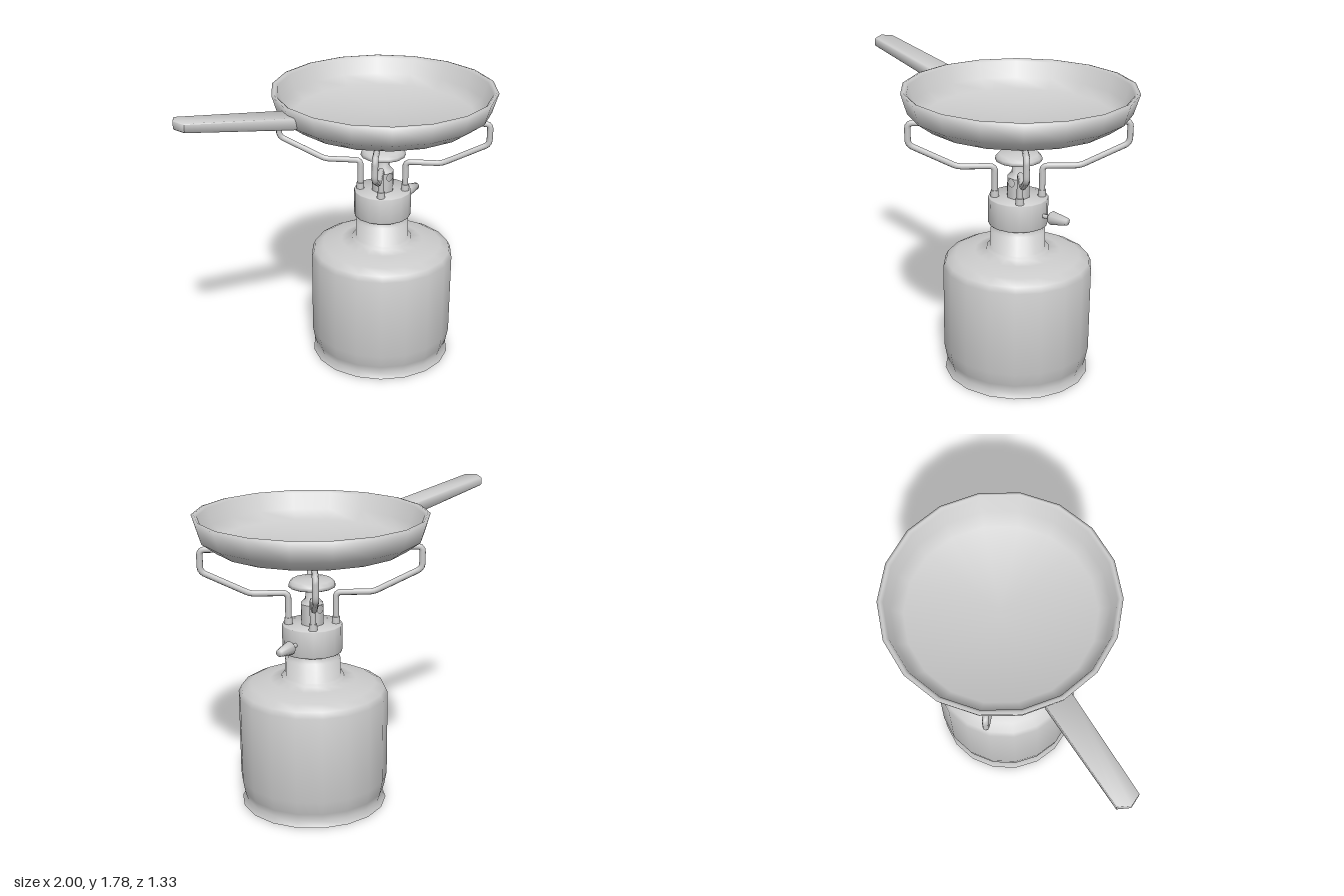
import * as THREE from 'three';
import { toCreasedNormals, mergeGeometries } from 'three/addons/utils/BufferGeometryUtils.js';

const metal = new THREE.MeshStandardMaterial({ color: 0xcccccc });
const sheet = new THREE.MeshStandardMaterial({ color: 0xcccccc, side: THREE.DoubleSide });

function part(name, geometry, parent, material = metal) {
  const mesh = new THREE.Mesh(geometry, material);
  mesh.name = name;
  parent.add(mesh);
  return mesh;
}

// Turned part from [radius, height] pairs, with softly blended edges
function turned(profile, sides, start = 0) {
  const points = profile.map(([r, y]) => new THREE.Vector2(r, y));
  const g = new THREE.LatheGeometry(points, sides, start);
  const last = points.length - 1;
  const slopes = points.slice(1).map((p, j) => new THREE.Vector2(p.y - points[j].y, points[j].x - p.x).normalize());
  const blended = points.map((p, j) => {
    const n = slopes[Math.max(j - 1, 0)].clone().add(slopes[Math.min(j, last - 1)]);
    return p.x === 0 ? new THREE.Vector2(0, Math.sign(n.y)) : n.normalize();
  });
  const normal = g.attributes.normal;
  for (let i = 0; i < normal.count; i++) {
    const phi = start + Math.floor(i / (last + 1)) * Math.PI * 2 / sides;
    const n = blended[i % (last + 1)];
    normal.setXYZ(i, n.x * Math.sin(phi), n.y, n.x * Math.cos(phi));
  }
  return g;
}

// Polyline with rounded corners, in the x-y plane
function bentPath(points, radius) {
  const p = points.map(([x, y]) => new THREE.Vector3(x, y, 0));
  const path = new THREE.CurvePath();
  let from = p[0];
  for (let i = 1; i < p.length - 1; i++) {
    const a = p[i].clone().add(p[i - 1].clone().sub(p[i]).setLength(radius));
    const b = p[i].clone().add(p[i + 1].clone().sub(p[i]).setLength(radius));
    path.add(new THREE.LineCurve3(from, a));
    path.add(new THREE.QuadraticBezierCurve3(a, p[i], b));
    from = b;
  }
  path.add(new THREE.LineCurve3(from, p[p.length - 1]));
  return path;
}

// Octagonal burner tube with an air hole front and back
function airTube(radius, bottom, top) {
  const half = radius * Math.sin(Math.PI / 8);
  const panels = [];
  for (let k = 0; k < 8; k++) {
    const shape = new THREE.Shape();
    shape.moveTo(-half, bottom).lineTo(half, bottom).lineTo(half, top).lineTo(-half, top).closePath();
    if (k % 4 === 0) shape.holes.push(new THREE.Path().absarc(0, 1.185, 0.023, 0, Math.PI * 2, true));
    const panel = new THREE.ShapeGeometry(shape, 8);
    panel.translate(0, 0, radius * Math.cos(Math.PI / 8)).rotateY(k * Math.PI / 4);
    const pos = panel.attributes.position;
    for (let i = 0; i < pos.count; i++) {
      const r = Math.hypot(pos.getX(i), pos.getZ(i));
      panel.attributes.normal.setXYZ(i, pos.getX(i) / r, 0, pos.getZ(i) / r);
    }
    panels.push(panel);
  }
  return mergeGeometries(panels);
}

// Flat tapering handle with a pointed end, along -x
function handleGeometry() {
  const shape = new THREE.Shape();
  shape.moveTo(-0.637, -0.072).lineTo(-0.637, 0.072).lineTo(-1.306, 0.062);
  shape.lineTo(-1.337, 0).lineTo(-1.306, -0.062).closePath();
  const g = new THREE.ExtrudeGeometry(shape, {
    depth: 0.048, bevelEnabled: true, bevelThickness: 0.006, bevelSize: 0.006, bevelSegments: 1,
  });
  g.translate(0, 0, -0.024).rotateX(-Math.PI / 2);
  const pos = g.attributes.position;
  for (let i = 0; i < pos.count; i++) {
    const t = (-pos.getX(i) - 0.61) / 0.73; // 0 at the pan, 1 at the tip
    pos.setY(i, pos.getY(i) * (1.2 - 0.33 * t) + 1.645 + 0.114 * t);
  }
  return toCreasedNormals(g, 1);
}

export function createModel() {
  const model = new THREE.Group();
  model.name = 'campStoveWithPan';
  const stove = new THREE.Group();
  stove.name = 'stove';
  stove.position.x = 0.335;
  model.add(stove);

  // Gas canister, open below, with a flared foot and a collar on the shoulder
  part('canister', turned([
    [0.429, 0], [0.406, 0.035], [0.42, 0.08], [0.435, 0.16], [0.436, 0.67], [0.42, 0.705], [0.365, 0.733],
    [0.25, 0.755], [0.185, 0.765], [0.182, 0.778], [0.162, 0.78], [0.161, 0.885], [0.145, 0.89], [0.143, 0.935],
  ], 18), stove, sheet);
  part('valveBody', turned([
    [0.13, 0.929], [0.172, 0.929], [0.174, 0.936], [0.174, 1.086], [0.172, 1.09], [0, 1.09],
  ], 16), stove);

  // Burner
  part('burnerTube', airTube(0.068, 1.09, 1.21), stove, sheet);
  part('burnerNeck', turned([[0.068, 1.21], [0.042, 1.237], [0.038, 1.32]], 8, Math.PI / 8), stove, sheet);
  part('burnerCap', turned([
    [0, 1.31], [0.125, 1.308], [0.136, 1.314], [0.132, 1.332], [0.115, 1.35], [0, 1.353],
  ], 14), stove);

  // Four folding pot supports on the diagonals
  const path = bentPath([
    [0.136, 1.09], [0.136, 1.272], [0.35, 1.272], [0.628, 1.405], [0.628, 1.532], [0.159, 1.532], [0.159, 1.488],
  ], 0.03);
  const wire = new THREE.TubeGeometry(path, 90, 0.018, 8);
  for (let k = 0; k < 4; k++) {
    const arm = new THREE.Group();
    arm.name = 'potSupport';
    arm.rotation.y = Math.PI / 4 + k * Math.PI / 2;
    stove.add(arm);
    part('supportWire', wire, arm);
    part('wireEnd', new THREE.CircleGeometry(0.018, 8).rotateX(Math.PI / 2), arm).position.set(0.159, 1.488, 0);
    part('supportSocket', new THREE.CylinderGeometry(0.023, 0.025, 0.04, 10), arm).position.set(0.136, 1.108, 0);
  }

  // Gas control knob
  const knob = new THREE.Group();
  knob.name = 'controlKnob';
  knob.position.y = 1.004;
  knob.rotation.y = 0.16;
  stove.add(knob);
  const stem = new THREE.CylinderGeometry(0.013, 0.013, 0.08, 8).rotateZ(-Math.PI / 2);
  part('knobStem', stem, knob).position.x = 0.19;
  const grip = turned([[0, 0.212], [0.028, 0.212], [0.041, 0.228], [0.021, 0.332], [0, 0.335]], 10);
  part('knobGrip', grip.rotateZ(-Math.PI / 2), knob);

  // Frying pan
  const pan = new THREE.Group();
  pan.name = 'fryingPan';
  pan.position.x = 0.336;
  pan.rotation.y = -0.118;
  model.add(pan);
  part('panBowl', turned([
    [0, 1.55], [0.55, 1.55], [0.632, 1.61], [0.668, 1.728], [0.652, 1.732],
    [0.635, 1.718], [0.607, 1.625], [0.54, 1.573], [0, 1.57],
  ], 18, Math.PI / 2), pan);
  part('panHandle', handleGeometry(), pan).position.z = -0.014;

  return model;
}
